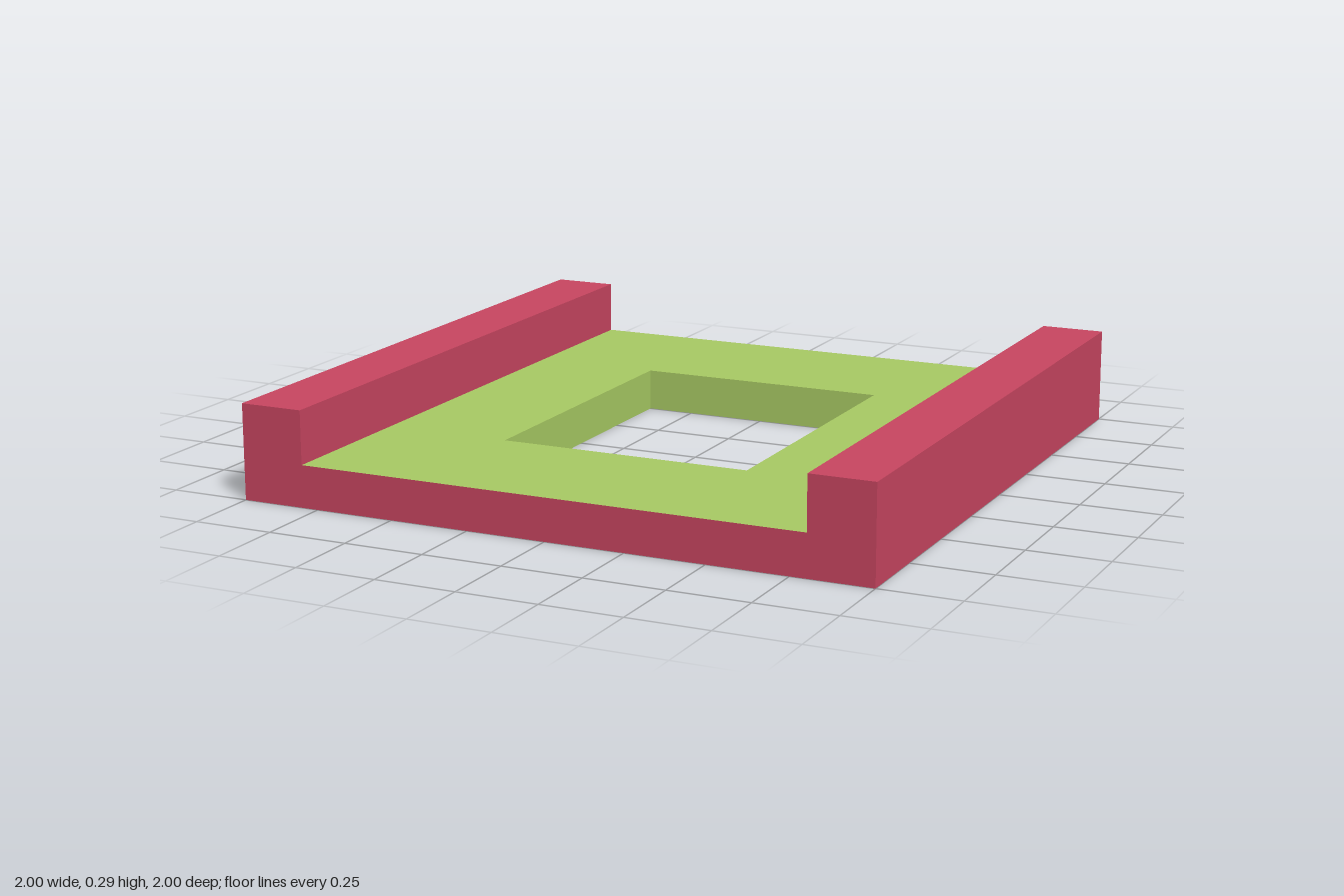
import * as THREE from 'three';

const RAIL_H = 0.295, RAIL_W = 0.2, DECK_H = 0.13, DECK_X = 0.8, HALF_Z = 1;

// Clockwise or counter-clockwise rectangle, centred on the origin
function rectangle(PathType, hx, hy) {
  const path = new PathType();
  path.moveTo(-hx, -hy);
  path.lineTo(hx, -hy);
  path.lineTo(hx, hy);
  path.lineTo(-hx, hy);
  path.closePath();
  return path;
}

export function createModel() {
  const red = new THREE.MeshStandardMaterial({ color: 0xc94661 });
  red.name = 'raspberry red';
  const green = new THREE.MeshStandardMaterial({ color: 0xa9cb64 });
  green.name = 'lime green';

  const model = new THREE.Group();
  model.name = 'railedFrame';

  // Deck with a rectangular opening
  const outline = rectangle(THREE.Shape, DECK_X, HALF_Z);
  outline.holes.push(rectangle(THREE.Path, 0.4, 0.5));
  const deckGeometry = new THREE.ExtrudeGeometry(outline, { depth: DECK_H, bevelEnabled: false });
  deckGeometry.rotateX(-Math.PI / 2);

  // Top and opening walls are green; underside and outer ends are red.
  // The sides hidden against the rails get no group and are not drawn.
  deckGeometry.clearGroups();
  const p = deckGeometry.attributes.position;
  const n = deckGeometry.attributes.normal;
  for (let i = 0; i < p.count; i += 3) {
    const flatSide = Math.abs(n.getY(i)) < 0.5;
    const againstRail = Math.abs(n.getX(i)) > 0.5 && Math.abs(p.getX(i)) > 0.7;
    const outerEnd = flatSide && Math.abs(p.getZ(i)) > 0.9;
    if (againstRail) continue;
    deckGeometry.addGroup(i, 3, outerEnd || n.getY(i) < -0.5 ? 1 : 0);
  }
  const deck = new THREE.Mesh(deckGeometry, [green, red]);
  deck.name = 'deck';
  model.add(deck);

  // Raised rails along both sides
  for (const [name, side] of [['leftRail', 1], ['rightRail', -1]]) {
    const rail = new THREE.Mesh(new THREE.BoxGeometry(RAIL_W, RAIL_H, HALF_Z * 2), red);
    rail.name = name;
    rail.position.set(side * (DECK_X + RAIL_W / 2), RAIL_H / 2, 0);
    model.add(rail);
  }
  return model;
}
